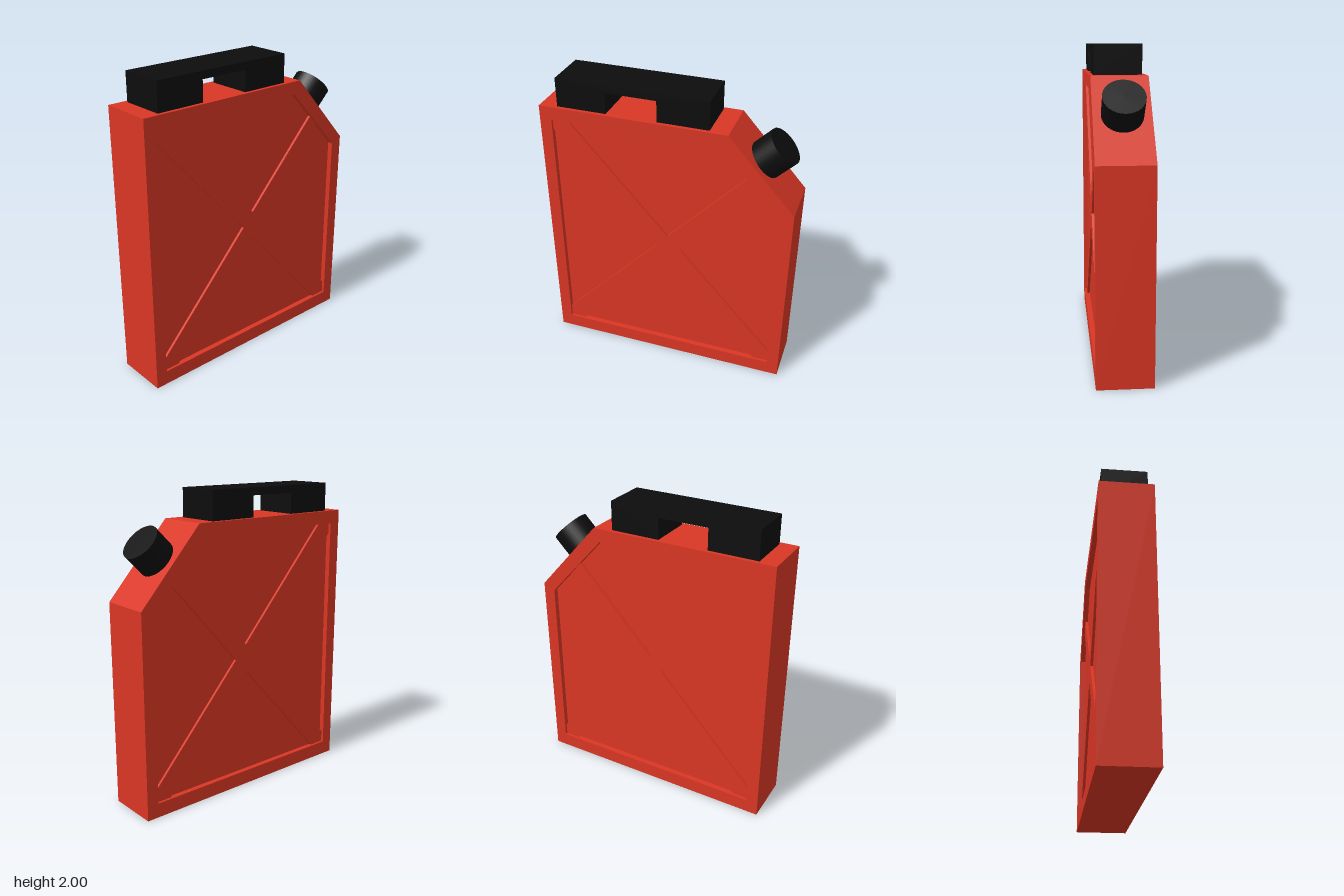
import * as THREE from 'three';

const red = new THREE.MeshStandardMaterial({ color: 0xd93624 });
red.name = 'red';
const black = new THREE.MeshStandardMaterial({ color: 0x0d0d0d });
black.name = 'black';

const points = (list) => list.map(([z, y]) => new THREE.Vector2(z, y));

// Extrudes a side profile given as [z, y] corners, centred across x
function slab(name, profile, width, material, hole) {
  const shape = new THREE.Shape(points(profile));
  if (hole) shape.holes.push(new THREE.Path(points(hole)));
  const geometry = new THREE.ExtrudeGeometry(shape, { depth: width, bevelEnabled: false });
  geometry.translate(0, 0, -width / 2).rotateY(-Math.PI / 2);
  const mesh = new THREE.Mesh(geometry, material);
  mesh.name = name;
  return mesh;
}

export function createModel() {
  const group = new THREE.Group();
  group.name = 'fuelCan';

  const outline = [[-0.825, 0], [0.825, 0], [0.825, 1.812], [-0.395, 1.812], [-0.825, 1.337]];
  const panel = [[-0.745, 0.095], [0.747, 0.095], [0.747, 1.725], [-0.355, 1.725], [-0.745, 1.3]];

  // Outer shell, framing the sunken side panels
  group.add(slab('bodyFrame', outline, 0.35, red, panel));
  group.add(slab('sunkenPanels', panel, 0.28, red));

  // Raised cross inside both panels
  const cross = [
    [0.747, 1.725], [0.645, 1.725], [-0.01, 0.99], [-0.525, 1.54], [-0.595, 1.463],
    [-0.095, 0.9], [-0.745, 0.178], [-0.745, 0.095], [-0.637, 0.095], [-0.005, 0.81],
    [0.637, 0.095], [0.747, 0.095], [0.747, 0.175], [0.07, 0.9], [0.747, 1.655],
  ];
  group.add(slab('crossRibs', cross, 0.315, red));

  // Carrying handle with a finger gap
  const handle = [
    [0.71, 1.805], [0.71, 2], [-0.275, 2], [-0.275, 1.805],
    [0.055, 1.805], [0.055, 1.95], [0.385, 1.95], [0.385, 1.805],
  ];
  group.add(slab('handle', handle, 0.3, black));

  // Tilted filler cap, sunk into the sloped corner
  const cap = new THREE.Mesh(new THREE.CylinderGeometry(0.126, 0.126, 0.25, 32), black);
  cap.name = 'fillerCap';
  cap.position.set(0, 1.622, -0.615);
  cap.rotation.x = -Math.PI / 4;
  group.add(cap);

  return group;
}
